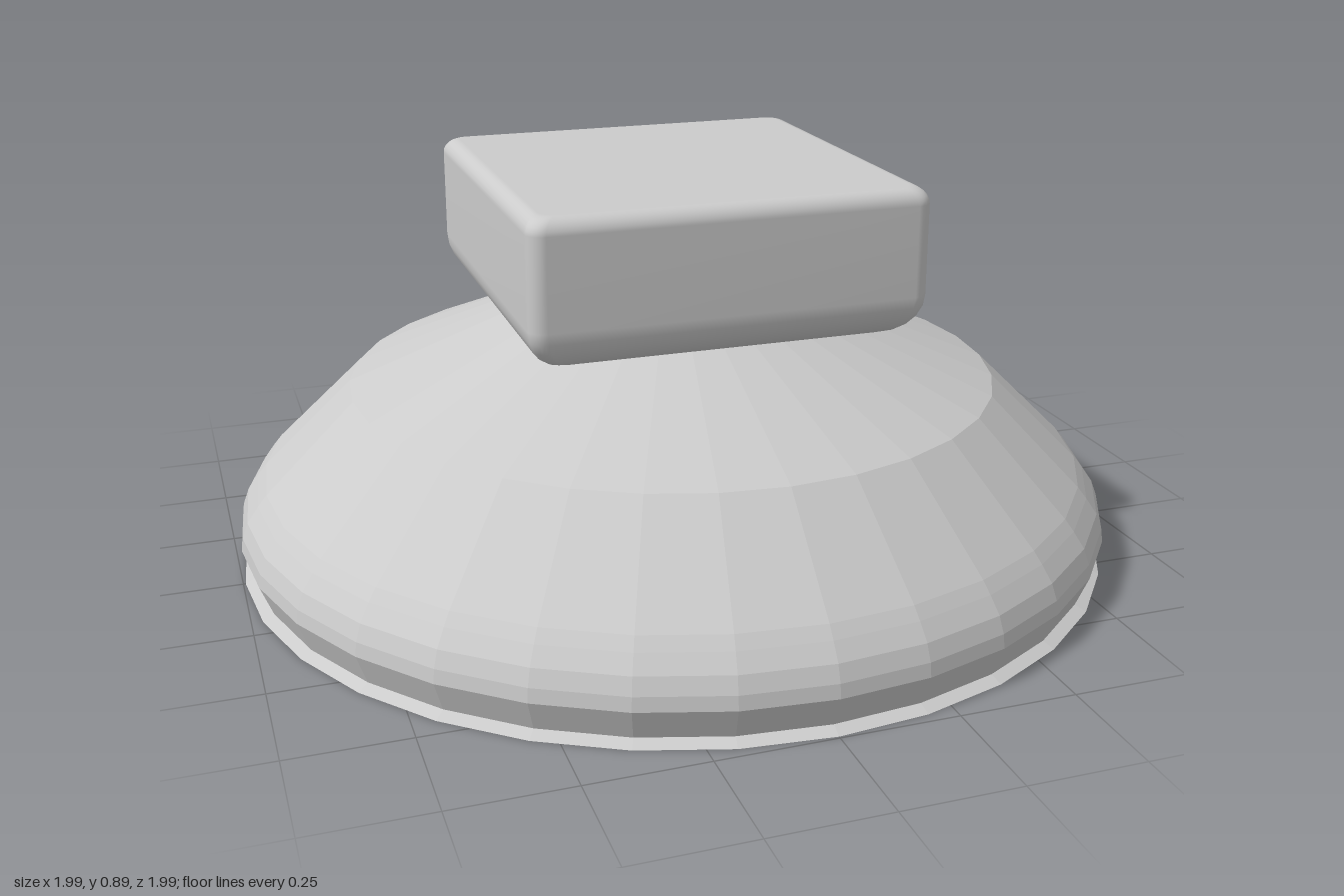
import * as THREE from 'three';

const grey = (flatShading) => new THREE.MeshStandardMaterial({ color: 0xcccccc, flatShading });

// Hollow bell-shaped base: one closed profile, inner wall first, then rim and outer wall
function makeBase() {
  const profile = [
    [0, 0.545], [0.09, 0.54], [0.70, 0.33], [0.86, 0.17], [0.895, 0.125], [0.91, 0.08], [0.91, 0],
    [0.995, 0], [0.97, 0.012], [0.997, 0.08], [0.993, 0.11], [0.98, 0.145], [0.955, 0.18], [0.935, 0.205],
    [0.735, 0.40], [0.34, 0.565], [0, 0.57],
  ].map(([r, y]) => new THREE.Vector2(r, y));
  const mesh = new THREE.Mesh(new THREE.LatheGeometry(profile, 32), grey(true));
  mesh.name = 'hollowBase';
  return mesh;
}

// Square block built from stacked rounded-square loops, with a wide fillet below and a tight one on top
function makeBlock() {
  const half = 0.435, bottom = 0.56, top = 0.888;
  const lowFillet = 0.095, topFillet = 0.035, steps = 6;
  const levels = [];
  for (let i = 0; i <= steps; i++) {
    const a = (i / steps) * Math.PI / 2;
    levels.push([lowFillet * (1 - Math.sin(a)), bottom + lowFillet * (1 - Math.cos(a))]);
  }
  for (let i = 0; i <= steps; i++) {
    const a = (i / steps) * Math.PI / 2;
    levels.push([topFillet * (1 - Math.cos(a)), top - topFillet * (1 - Math.sin(a))]);
  }

  const positions = [], index = [];
  const perLoop = 4 * (steps + 1);
  for (const [inset, y] of levels) {
    const radius = Math.max(0.036 - inset * 0.2, 0.001);
    const core = half - inset - radius;
    for (let corner = 0; corner < 4; corner++) {
      const mid = (corner + 0.5) * Math.PI / 2;
      const sx = Math.sign(Math.cos(mid)), sz = Math.sign(Math.sin(mid));
      for (let k = 0; k <= steps; k++) {
        const a = (corner + k / steps) * Math.PI / 2;
        positions.push(sx * core + radius * Math.cos(a), y, sz * core + radius * Math.sin(a));
      }
    }
  }
  const lowCentre = positions.length / 3, topCentre = lowCentre + 1;
  positions.push(0, bottom, 0, 0, top, 0);
  const last = (levels.length - 1) * perLoop;
  for (let i = 0; i < perLoop; i++) {
    const j = (i + 1) % perLoop;
    for (let l = 0; l < last; l += perLoop) {
      const a = l + i, b = l + j, c = a + perLoop, d = b + perLoop;
      index.push(a, c, b, b, c, d);
    }
    index.push(lowCentre, i, j, topCentre, last + j, last + i);
  }
  const geometry = new THREE.BufferGeometry();
  geometry.setAttribute('position', new THREE.Float32BufferAttribute(positions, 3));
  geometry.setIndex(index);
  geometry.computeVertexNormals();
  const mesh = new THREE.Mesh(geometry, grey(false));
  mesh.name = 'squareBlock';
  return mesh;
}

export function createModel() {
  const group = new THREE.Group();
  group.name = 'domedFoot';
  group.add(makeBase(), makeBlock());
  return group;
}
